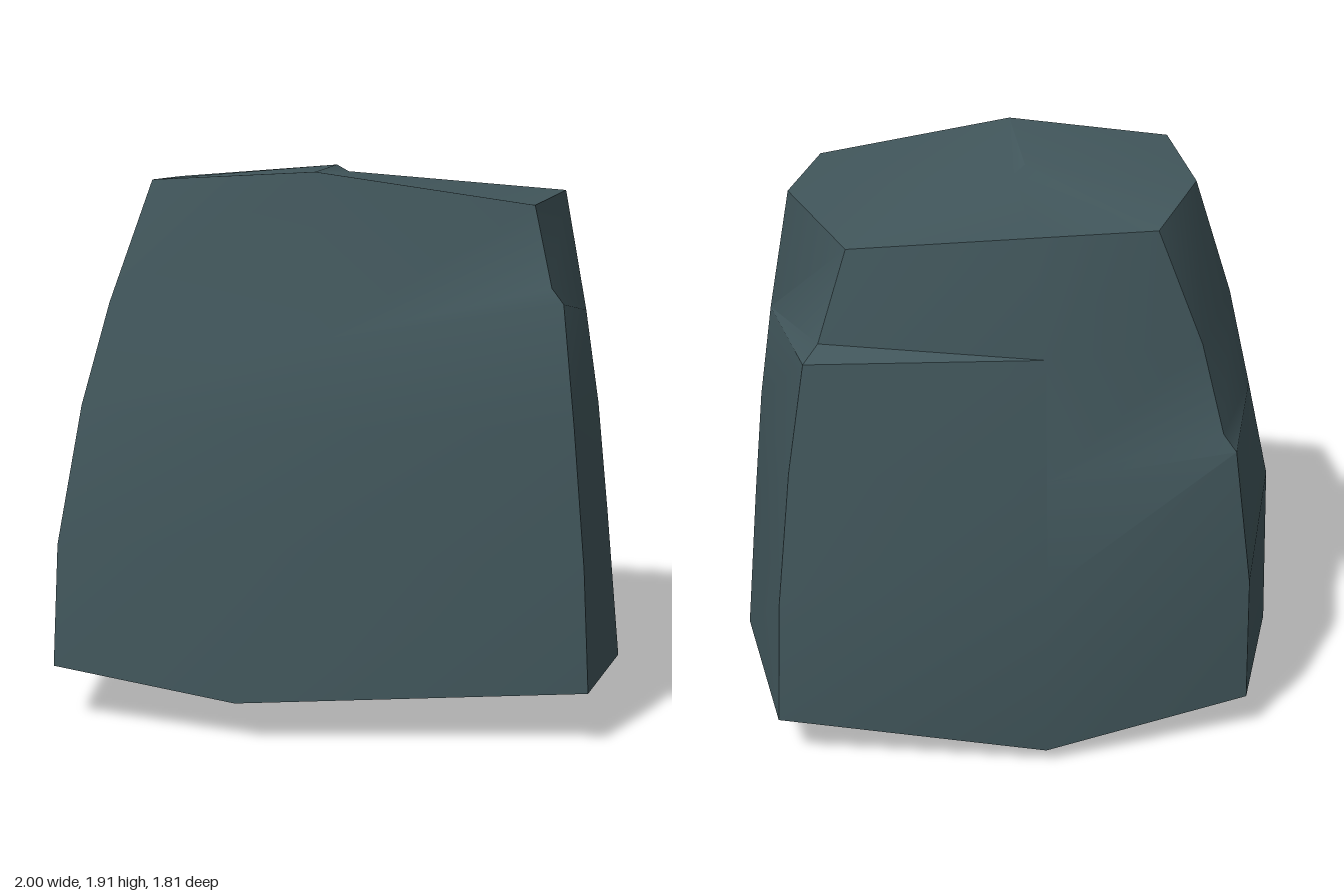
import * as THREE from 'three';
import { toCreasedNormals } from 'three/addons/utils/BufferGeometryUtils.js';

// A vertical rib of five points. With a ledge, the rib steps inward to `upper` at point `at`.
function rib(points, at = -1, upper = null) {
  const [foot, low, mid, high, top] = points;
  return [foot, low, mid, at === 2 ? upper : mid, high, at === 3 ? upper : high, top];
}

export function createModel() {
  const stone = new THREE.MeshStandardMaterial({ color: 0x41565b });
  stone.name = 'slate stone';

  // Four corner ribs and four bulging mid-side ribs, in order around the block
  const ribs = [
    // front, -x corner
    rib([[-0.97, 0.19, 0.71], [-0.95, 0.62, 0.7], [-0.87, 1.1, 0.64], [-0.78, 1.45, 0.58], [-0.64, 1.87, 0.5]]),
    // front middle
    rib([[-0.3, 0.13, 0.9], [-0.27, 0.65, 0.85], [-0.2, 1.05, 0.81], [-0.05, 1.34, 0.775], [-0.05, 1.9, 0.68]]),
    // front, +x corner, chipped
    rib([[0.88, 0.18, 0.83], [0.86, 0.6, 0.82], [0.82, 1.07, 0.79], [0.78, 1.47, 0.74], [0.68, 1.79, 0.61]],
      3, [0.74, 1.52, 0.7]),
    // +x middle
    rib([[1, 0.1, 0], [0.95, 0.65, 0], [0.91, 1.05, 0], [0.86, 1.39, 0], [0.78, 1.825, 0]]),
    // back, +x corner, chipped
    rib([[0.85, 0.16, -0.83], [0.83, 0.6, -0.8], [0.78, 1.07, -0.76], [0.72, 1.44, -0.71], [0.57, 1.8, -0.6]],
      3, [0.67, 1.49, -0.65]),
    // back middle
    rib([[-0.08, 0.05, -0.91], [-0.08, 0.68, -0.9], [-0.08, 1.05, -0.84], [-0.08, 1.46, -0.77], [-0.04, 1.855, -0.69]]),
    // back, -x corner, chipped lower down
    rib([[-0.81, 0.14, -0.74], [-0.8, 0.6, -0.74], [-0.74, 1.08, -0.7], [-0.62, 1.45, -0.63], [-0.47, 1.83, -0.56]],
      2, [-0.7, 1.13, -0.66]),
    // -x middle
    rib([[-1, 0.08, -0.05], [-0.98, 0.7, -0.05], [-0.89, 1.08, -0.08], [-0.8, 1.45, -0.1], [-0.66, 1.87, -0.12]]),
  ];

  const positions = [];
  const same = (a, b) => a.every((v, i) => v === b[i]);
  const tri = (a, b, c) => {
    if (!same(a, b) && !same(b, c) && !same(c, a)) positions.push(...a, ...b, ...c);
  };

  const under = [-0.1, 0, -0.03];
  // The top is split by a crack, with the -x plate standing slightly higher
  const highCentre = [-0.06, 1.915, -0.03];
  const lowCentre = [-0.02, 1.89, -0.06];
  const last = 6;

  ribs.forEach((a, i) => {
    const b = ribs[(i + 1) % ribs.length];
    // side panels
    for (let k = 0; k < last; k++) {
      tri(a[k], b[k], b[k + 1]);
      tri(a[k], b[k + 1], a[k + 1]);
    }
    // underside and top fans
    tri(under, b[0], a[0]);
    tri(i >= 1 && i <= 5 ? lowCentre : highCentre, a[last], b[last]);
  });

  // small step faces along the crack
  tri(highCentre, ribs[1][last], lowCentre);
  tri(highCentre, lowCentre, ribs[6][last]);

  const geometry = new THREE.BufferGeometry();
  geometry.setAttribute('position', new THREE.Float32BufferAttribute(positions, 3));

  const block = new THREE.Mesh(toCreasedNormals(geometry, 0.6), stone);
  block.name = 'stoneBlock';

  const group = new THREE.Group();
  group.name = 'rock';
  group.add(block);
  return group;
}
